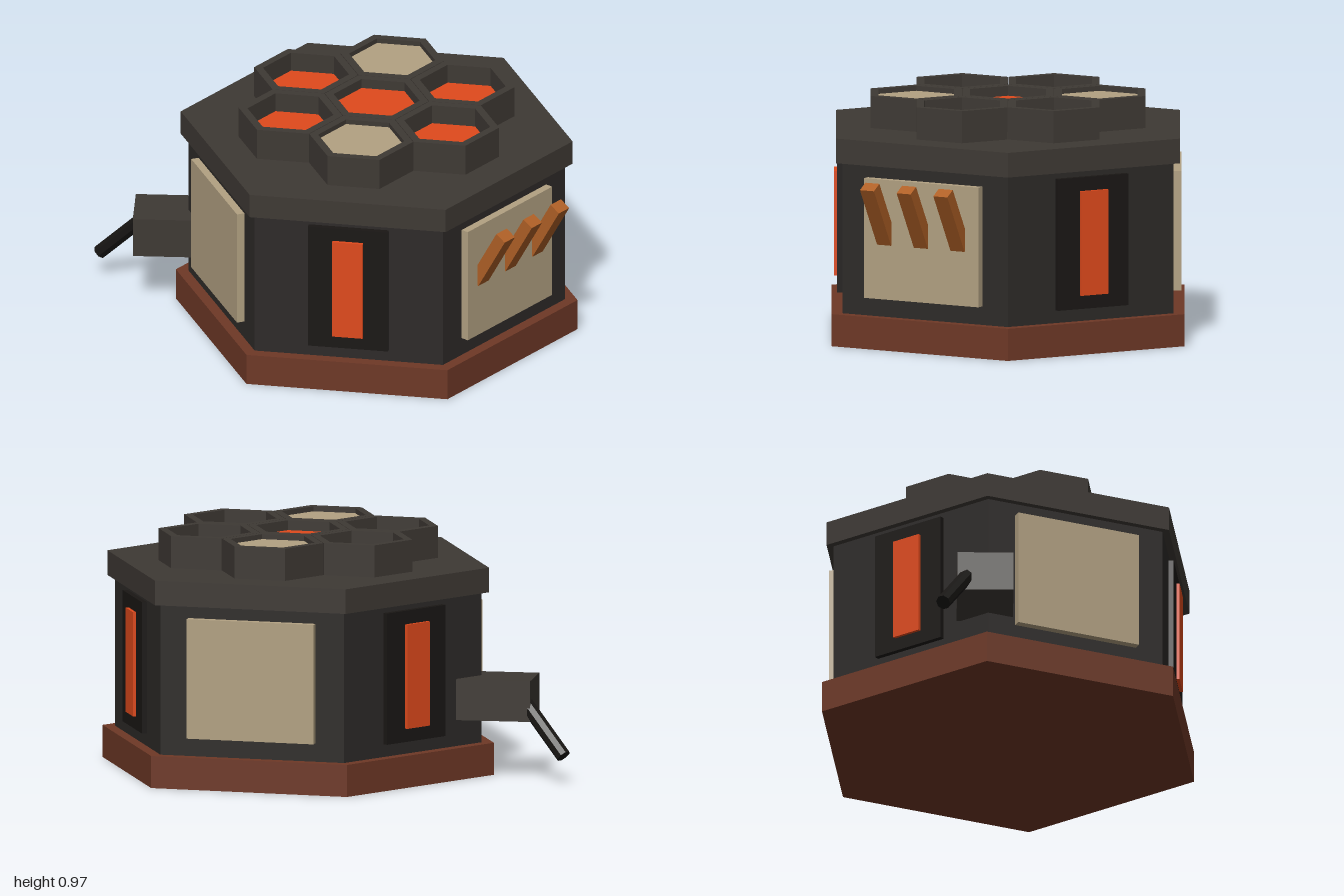
import * as THREE from 'three';

const mat = (color) => new THREE.MeshStandardMaterial({ color, flatShading: true, roughness: 0.9 });
const M = {
  wood: mat(0x6e3826), wall: mat(0x2d2a28), roof: mat(0x3e3934), frame: mat(0x1a1715),
  glow: mat(0xe04a1c), wax: mat(0xb2a182), peg: mat(0xb06026), stick: mat(0x171513),
};

function add(parent, name, geometry, material, x = 0, y = 0, z = 0) {
  const mesh = new THREE.Mesh(geometry, material);
  mesh.name = name;
  mesh.position.set(x, y, z);
  parent.add(mesh);
  return mesh;
}

// Upright hexagonal slab with corners on the x axis
function hexSlab(parent, name, radius, y0, y1, material, x = 0, z = 0) {
  const g = new THREE.CylinderGeometry(radius, radius, y1 - y0, 6).rotateY(Math.PI / 2);
  return add(parent, name, g, material, x, (y0 + y1) / 2, z);
}

const hexPoints = (r) => Array.from({ length: 6 }, (_, i) =>
  new THREE.Vector2(r * Math.cos(i * Math.PI / 3), r * Math.sin(i * Math.PI / 3)));

// Hollow hexagonal cell wall
function cellWall(outer, inner, height) {
  const shape = new THREE.Shape(hexPoints(outer));
  shape.holes.push(new THREE.Path(hexPoints(inner)));
  return new THREE.ExtrudeGeometry(shape, { depth: height, bevelEnabled: false }).rotateX(-Math.PI / 2);
}

// Box spanning two heights, from inside the wall out to a given distance
function plate(parent, name, width, y0, y1, out, material) {
  const inner = 0.64;
  add(parent, name, new THREE.BoxGeometry(width, y1 - y0, out - inner), material,
    0, (y0 + y1) / 2, (out + inner) / 2);
}

export function createModel() {
  const model = new THREE.Group();
  model.name = 'hexagonalHive';
  const hive = new THREE.Group();
  hive.name = 'hive';
  hive.position.x = 0.172;
  model.add(hive);

  // Stacked body
  hexSlab(hive, 'base', 0.817, 0, 0.13, M.wood);
  hexSlab(hive, 'walls', 0.766, 0.13, 0.74, M.wall);
  hexSlab(hive, 'roof', 0.797, 0.74, 0.84, M.roof);

  // Honeycomb on the roof: one centre cell and a ring of six
  const wall = cellWall(0.211, 0.175, 0.13);
  for (let i = 0; i < 7; i++) {
    const a = Math.PI / 6 + i * Math.PI / 3;
    const d = i === 6 ? 0 : 0.368;
    const x = d * Math.cos(a), z = d * Math.sin(a);
    const waxed = i === 1 || i === 4;
    const top = waxed ? 0.95 : i === 6 ? 0.93 : 0.89;
    add(hive, 'cellWall', wall, M.roof, x, 0.84, z);
    hexSlab(hive, waxed ? 'waxCap' : 'honeyFill', 0.176, 0.83, top, waxed ? M.wax : M.glow, x, z);
  }

  // Sides alternate glowing windows and pale panels
  for (let i = 0; i < 6; i++) {
    const side = new THREE.Group();
    side.name = i % 2 ? 'panelSide' : 'windowSide';
    side.rotation.y = i * Math.PI / 3;
    hive.add(side);
    if (i % 2) {
      plate(side, 'panel', 0.53, 0.205, 0.69, 0.695, M.wax);
    } else {
      plate(side, 'windowFrame', 0.325, 0.182, 0.715, 0.685, M.frame);
      plate(side, 'windowGlow', 0.125, 0.237, 0.66, 0.698, M.glow);
    }
    // Three slanted pegs on one panel
    if (i === 1) {
      for (const x of [-0.17, 0, 0.17]) {
        const peg = add(side, 'peg', new THREE.BoxGeometry(0.065, 0.275, 0.05), M.peg, x, 0.557, 0.745);
        peg.rotation.x = Math.PI / 6;
      }
    }
  }

  // Side spout with a drooping stick
  const spout = add(model, 'spout', new THREE.BoxGeometry(0.3, 0.165, 0.226), M.roof, -0.663, 0.32, -0.006);
  spout.rotation.y = 0.115;
  const low = new THREE.Vector3(-0.977, 0.112, -0.142);
  const high = new THREE.Vector3(-0.79, 0.315, -0.062);
  const dir = high.clone().sub(low);
  const mid = low.clone().add(high).multiplyScalar(0.5);
  const stick = add(model, 'stick', new THREE.CylinderGeometry(0.03, 0.03, dir.length(), 8), M.stick, mid.x, mid.y, mid.z);
  stick.quaternion.setFromUnitVectors(new THREE.Vector3(0, 1, 0), dir.normalize());

  return model;
}
